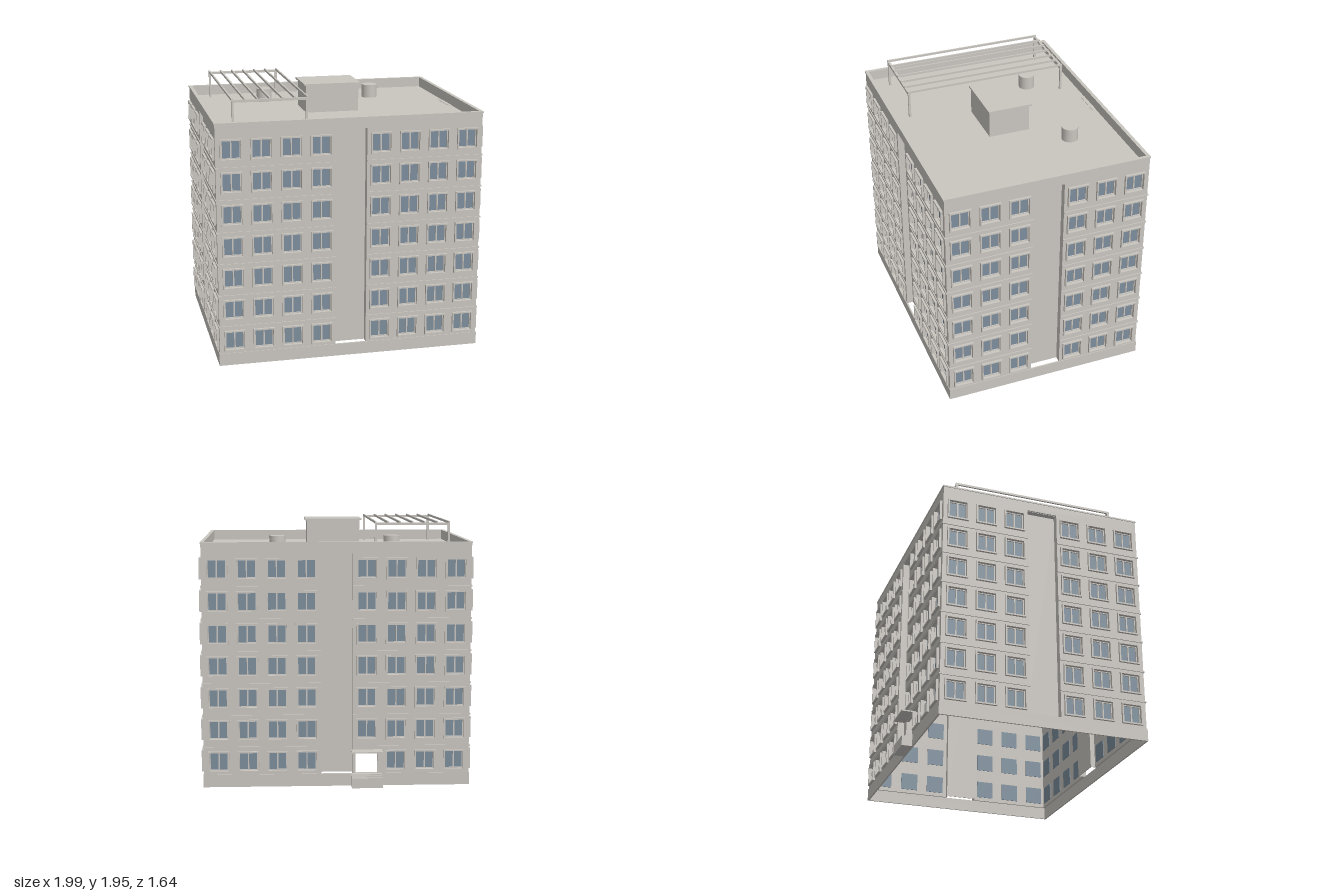
import * as THREE from 'three';
import { mergeGeometries } from 'three/addons/utils/BufferGeometryUtils.js';

const HX = 0.98, HZ = 0.768, CZ = 0.035;      // half sizes of the walls, centre in z
const BASE = 0.093, ROOF = 1.725, TOP = 1.805;
const FLOORS = 7, FIRST = 0.19, PITCH = 0.2372;
const WIN_W = 0.158, WIN_H = 0.156, HOLE_W = 0.136, HOLE_H = 0.134;
const NICHE = 0.115, NICHE_DEPTH = 0.05, SKIN = 0.02;

const concrete = new THREE.MeshStandardMaterial({ color: 0xcac6c0 });
const glass = new THREE.MeshStandardMaterial({ color: 0x7c8e9c });
concrete.name = 'concrete';
glass.name = 'glass';

// Box from its limits, non-indexed so that it merges with extrusions
function box(x0, x1, y0, y1, z0, z1) {
  return new THREE.BoxGeometry(x1 - x0, y1 - y0, z1 - z0)
    .translate((x0 + x1) / 2, (y0 + y1) / 2, (z0 + z1) / 2)
    .toNonIndexed();
}

function addMesh(parent, name, geometry, material = concrete) {
  const mesh = new THREE.Mesh(geometry, material);
  mesh.name = name;
  parent.add(mesh);
}

function rectPoints(cx, cy, w, h) {
  return [[-1, -1], [1, -1], [1, 1], [-1, 1]]
    .map(([sx, sy]) => new THREE.Vector2(cx + sx * w / 2, cy + sy * h / 2));
}

// Rectangular ring in the xy plane, extruded along z
function ring(w, h, innerW, innerH, depth) {
  const shape = new THREE.Shape(rectPoints(0, 0, w, h));
  shape.holes.push(new THREE.Path(rectPoints(0, 0, innerW, innerH)));
  return new THREE.ExtrudeGeometry(shape, { depth, bevelEnabled: false });
}

// Horizontal ring following the outline of the building
function bandRing(halfX, halfZ, thick, y0, y1) {
  return ring(2 * halfX, 2 * halfZ, 2 * (halfX - thick), 2 * (halfZ - thick), y1 - y0)
    .rotateX(-Math.PI / 2).translate(0, y0, CZ);
}

// One facade, outer surface at local z = 0 and facing local +z
function facade(name, half, columns, hasDoor) {
  const g = new THREE.Group();
  g.name = name;
  const V = (x, y) => new THREE.Vector2(x, y);
  const wall = new THREE.Shape([
    V(-half, BASE), V(-NICHE, BASE), V(-NICHE, ROOF), V(NICHE, ROOF),
    V(NICHE, BASE), V(half, BASE), V(half, TOP), V(-half, TOP)]);
  const frames = [], sashes = [], panes = [];

  const xs = columns.flatMap(c => [-c, c]);
  for (let f = 0; f < FLOORS; f++) {
    for (const x of xs) {
      const y = FIRST + f * PITCH;
      if (hasDoor && f === 0 && x === columns[0]) {
        wall.holes.push(new THREE.Path(rectPoints(x, 0.178, 0.16, 0.165)));
        continue;
      }
      wall.holes.push(new THREE.Path(rectPoints(x, y, HOLE_W, HOLE_H)));
      frames.push(ring(WIN_W, WIN_H, HOLE_W, HOLE_H, 0.018).translate(x, y, -0.001));
      sashes.push(
        ring(HOLE_W, HOLE_H, HOLE_W - 0.012, HOLE_H - 0.012, 0.01).translate(x, y, -0.017),
        box(x - 0.005, x + 0.005, y - HOLE_H / 2, y + HOLE_H / 2, -0.017, -0.007));
      panes.push(box(x - HOLE_W / 2, x + HOLE_W / 2, y - HOLE_H / 2, y + HOLE_H / 2, -0.025, -0.016));
    }
  }
  addMesh(g, 'wall', new THREE.ExtrudeGeometry(wall, { depth: SKIN, bevelEnabled: false })
    .translate(0, 0, -SKIN));
  addMesh(g, 'windowFrames', mergeGeometries(frames));
  addMesh(g, 'windowSashes', mergeGeometries(sashes));
  addMesh(g, 'windowGlass', mergeGeometries(panes), glass);

  // Recessed vertical strip, open at its foot
  const d = NICHE_DEPTH, t = 0.006;
  addMesh(g, 'recess', mergeGeometries([
    box(-NICHE - t, NICHE + t, BASE, ROOF, -d - t, -d),
    box(-NICHE - t, -NICHE, BASE, ROOF, -d, -0.001),
    box(NICHE, NICHE + t, BASE, ROOF, -d, -0.001),
    box(-NICHE, NICHE, ROOF, ROOF + t, -d, -0.001)]));

  // Thin ledges between the floors
  const ledges = [];
  for (let f = 0; f < FLOORS - 1; f++) {
    const y = 0.298 + f * PITCH;
    for (const s of [-1, 1]) {
      const a = s * NICHE, b = s * (half + 0.006);
      ledges.push(box(Math.min(a, b), Math.max(a, b), y - 0.005, y + 0.005, -0.002, 0.007));
    }
  }
  addMesh(g, 'floorLedges', mergeGeometries(ledges));
  return g;
}

export function createModel() {
  const model = new THREE.Group();
  model.name = 'apartmentBlock';

  // Four facades
  const wide = [0.22, 0.436, 0.652, 0.868], narrow = [0.219, 0.438, 0.657];
  [['frontFacade', HX, wide, HZ], ['leftFacade', HZ, narrow, HX],
    ['backFacade', HX, wide, HZ], ['rightFacade', HZ, narrow, HX]]
    .forEach(([name, half, columns, out], i) => {
      const f = facade(name, half, columns, name === 'backFacade');
      const a = i * Math.PI / 2;
      f.rotation.y = a;
      f.position.set(Math.sin(a) * out, 0, CZ + Math.cos(a) * out);
      model.add(f);
    });

  // Plinth, roof and parapet
  addMesh(model, 'plinth', bandRing(HX + 0.005, HZ + 0.005, 0.012, 0, BASE));
  addMesh(model, 'parapetCoping', bandRing(HX + 0.005, HZ + 0.005, 0.027, TOP - 0.01, TOP + 0.001));
  addMesh(model, 'roof', box(-HX + 0.01, HX - 0.01, ROOF - 0.003, ROOF + 0.003,
    CZ - HZ + 0.01, CZ + HZ - 0.01));

  // Stair house on the roof
  const house = new THREE.Group();
  house.name = 'stairHouse';
  addMesh(house, 'houseWalls', box(-0.202, 0.202, ROOF, 1.932, -0.123, 0.188));
  addMesh(house, 'houseCap', box(-0.218, 0.216, 1.932, 1.946, -0.138, 0.198));
  model.add(house);

  // Round vents
  for (const x of [-0.43, 0.428]) {
    addMesh(model, 'roofVent', new THREE.CylinderGeometry(0.061, 0.061, 1.83 - ROOF, 16)
      .translate(x, (1.83 + ROOF) / 2, -0.355));
  }

  // Roof pergola
  const pergola = new THREE.Group();
  pergola.name = 'pergola';
  const x0 = -0.837, x1 = -0.285, z0 = -0.595, z1 = 0.658;
  const posts = [], beams = [], slats = [];
  for (const z of [z0, z1 - 0.018]) {
    beams.push(box(x0, x1, 1.918, 1.936, z, z + 0.018));
    for (const x of [x0, x1 - 0.016]) posts.push(box(x, x + 0.016, ROOF, 1.918, z, z + 0.016));
  }
  for (let i = 0; i < 7; i++) {
    const x = x0 + i * (x1 - x0 - 0.012) / 6;
    slats.push(box(x, x + 0.012, 1.93, 1.946, z0, z1));
  }
  addMesh(pergola, 'pergolaPosts', mergeGeometries(posts));
  addMesh(pergola, 'pergolaBeams', mergeGeometries(beams));
  addMesh(pergola, 'pergolaSlats', mergeGeometries(slats));
  model.add(pergola);

  // Back entrance: canopy and steps
  const entrance = new THREE.Group();
  entrance.name = 'entrance';
  const back = CZ - HZ;
  addMesh(entrance, 'canopy', box(-0.335, -0.108, 0.263, 0.273, -0.822, back));
  [[0.093, -0.77], [0.084, -0.792], [0.075, -0.815]].forEach(([h, z]) =>
    addMesh(entrance, 'step', box(-0.335, -0.108, 0, h, z, back)));
  model.add(entrance);

  return model;
}
